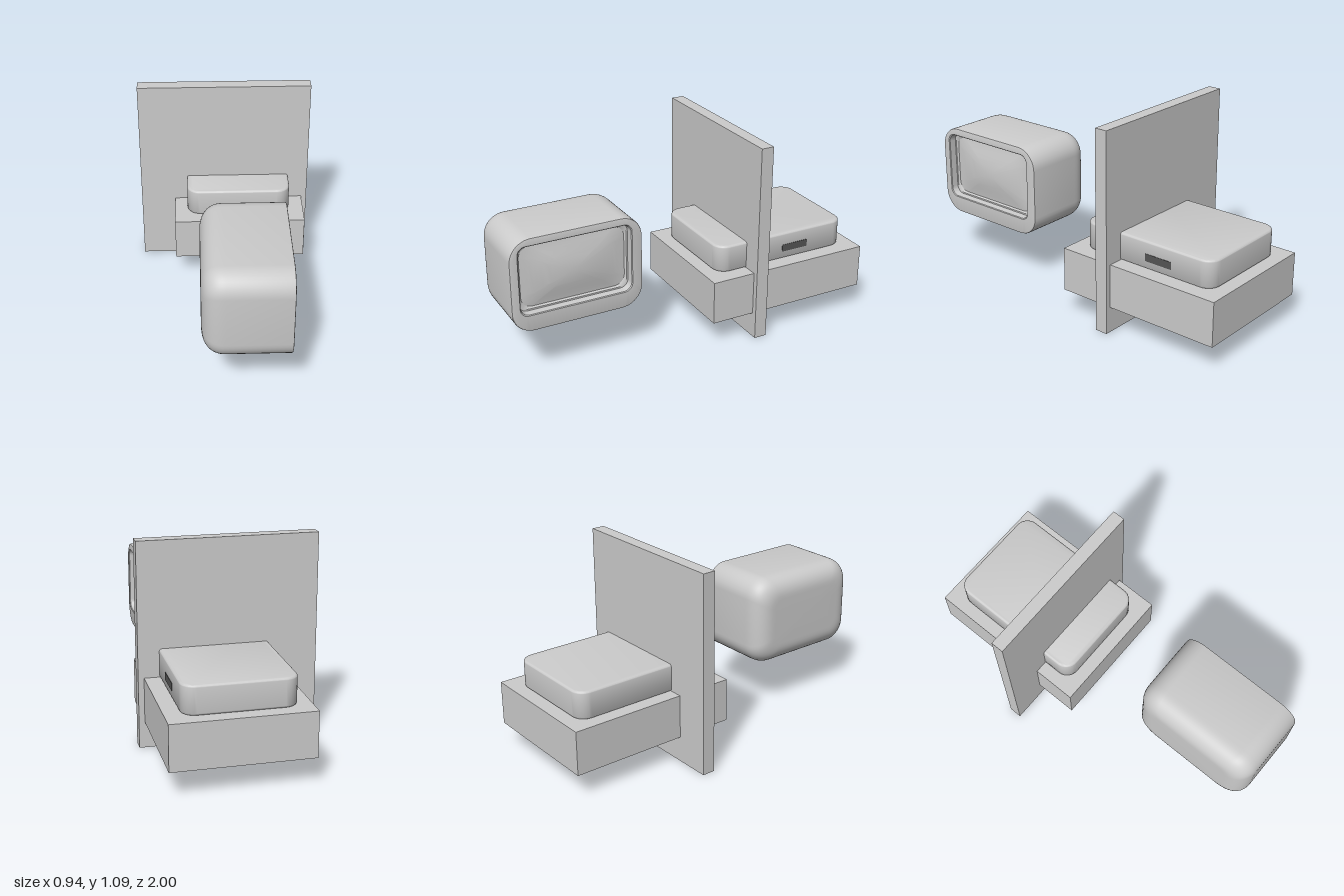
import * as THREE from 'three';
import { toCreasedNormals } from 'three/addons/utils/BufferGeometryUtils.js';

const grey = new THREE.MeshStandardMaterial({ color: 0xcccccc });
const dark = new THREE.MeshStandardMaterial({ color: 0x555555 });

// Box given by its min and max corners
function box(name, [x0, y0, z0], [x1, y1, z1], material = grey) {
  const mesh = new THREE.Mesh(new THREE.BoxGeometry(x1 - x0, y1 - y0, z1 - z0), material);
  mesh.position.set((x0 + x1) / 2, (y0 + y1) / 2, (z0 + z1) / 2);
  mesh.name = name;
  return mesh;
}

// Rounded rectangle loop in the zy plane as [z, y] offsets
function roundedLoop(hz, hy, r, steps = 10) {
  const pts = [];
  for (const [k, sz, sy] of [[0, 1, 1], [1, -1, 1], [2, -1, -1], [3, 1, -1]]) {
    for (let i = 0; i <= steps; i++) {
      const a = (k + i / steps) * Math.PI / 2;
      pts.push([sz * (hz - r) + r * Math.cos(a), sy * (hy - r) + r * Math.sin(a)]);
    }
  }
  return pts;
}

// Skin joining rounded rectangle sections along x; bulge(z, y) adds to x
function loft(name, sections, bulge = () => 0) {
  const pos = [], index = [];
  let n = 0;
  for (const { x, cy, cz, hy, hz, r } of sections) {
    const loop = roundedLoop(hz, hy, r);
    n = loop.length;
    for (const [z, y] of loop) pos.push(x + bulge(z, y), cy + y, cz + z);
  }
  for (let i = 0; i < sections.length - 1; i++) {
    for (let j = 0; j < n; j++) {
      const a = i * n + j, b = i * n + (j + 1) % n;
      index.push(a, a + n, b, b, a + n, b + n);
    }
  }
  const geo = new THREE.BufferGeometry();
  geo.setAttribute('position', new THREE.Float32BufferAttribute(pos, 3));
  geo.setIndex(index);
  const mesh = new THREE.Mesh(toCreasedNormals(geo, 0.6), grey);
  mesh.name = name;
  return mesh;
}

function createTelevision() {
  const tv = new THREE.Group();
  tv.name = 'television';
  const back = -0.147, front = 0.295;

  // Housing: soft rounded back, straight sides, rim and recessed opening
  const outer = (x, inset) => ({
    x, cy: 0.535, cz: 0.641, hy: 0.252 - inset, hz: 0.356 - inset, r: 0.115 - inset * 0.5,
  });
  const inner = (x, inset, r = 0.045) => ({
    x, cy: 0.56, cz: 0.6475, hy: 0.185 - inset, hz: 0.303 - inset, r,
  });
  const sections = [{ x: back, cy: 0.535, cz: 0.641, hy: 0, hz: 0, r: 0 }];
  const R = 0.12, steps = 14;
  for (let i = 0; i <= steps; i++) {
    const a = (i / steps) * Math.PI / 2;
    sections.push(outer(
      back + R * (1 - Math.cos(a) ** 0.85),
      R * (1 - Math.sin(a) ** 0.85),
    ));
  }
  sections.push(
    outer(front - 0.008, 0),
    outer(front - 0.002, 0.002),
    outer(front, 0.008),
    inner(front, -0.004),
    inner(front - 0.004, 0),
    inner(front - 0.04, 0.004),
    inner(front - 0.04, 0.012),
    inner(front - 0.05, 0.02, 0.06),
  );
  tv.add(loft('televisionHousing', sections));

  // Gently bulging screen
  const hy = 0.167, hz = 0.285, rings = [];
  for (let i = 0; i <= 12; i++) {
    const s = 1 - i / 12;
    rings.push({ x: front - 0.05, cy: 0.56, cz: 0.6475, hy: hy * s, hz: hz * s, r: 0.06 * s });
  }
  tv.add(loft('screen', rings, (z, y) => 0.03 * (1 - (z / hz) ** 2) * (1 - (y / hy) ** 2)));
  return tv;
}

function createConsole() {
  const unit = new THREE.Group();
  unit.name = 'console';
  const bevel = 0.012, x0 = -0.21, x1 = 0.36, z0 = -0.93, z1 = -0.13, y0 = 0.378, y1 = 0.528;
  const shape = new THREE.Shape(
    roundedLoop((x1 - x0) / 2 - bevel, (z1 - z0) / 2 - bevel, 0.06, 8)
      .map(([x, y]) => new THREE.Vector2(x, y)),
  );
  const geo = new THREE.ExtrudeGeometry(shape, {
    depth: y1 - y0 - 2 * bevel, bevelThickness: bevel, bevelSize: bevel, bevelSegments: 4,
  });
  geo.rotateX(-Math.PI / 2);
  geo.translate((x0 + x1) / 2, y0 + bevel, (z0 + z1) / 2);
  const body = new THREE.Mesh(toCreasedNormals(geo, 0.6), grey);
  body.name = 'consoleBody';
  unit.add(body);

  // Narrow slot on the side
  unit.add(box('consoleSlot', [x1 - 0.02, 0.42, -0.69], [x1 + 0.002, 0.46, -0.53], dark));
  return unit;
}

export function createModel() {
  const model = new THREE.Group();
  model.name = 'televisionSet';
  model.add(
    box('uprightPanel', [-0.47, 0, -0.372], [0.47, 1.088, -0.302]),
    box('baseBlock', [-0.28, 0.14, -1], [0.44, 0.378, -0.06]),
    createConsole(),
    createTelevision(),
  );
  return model;
}
